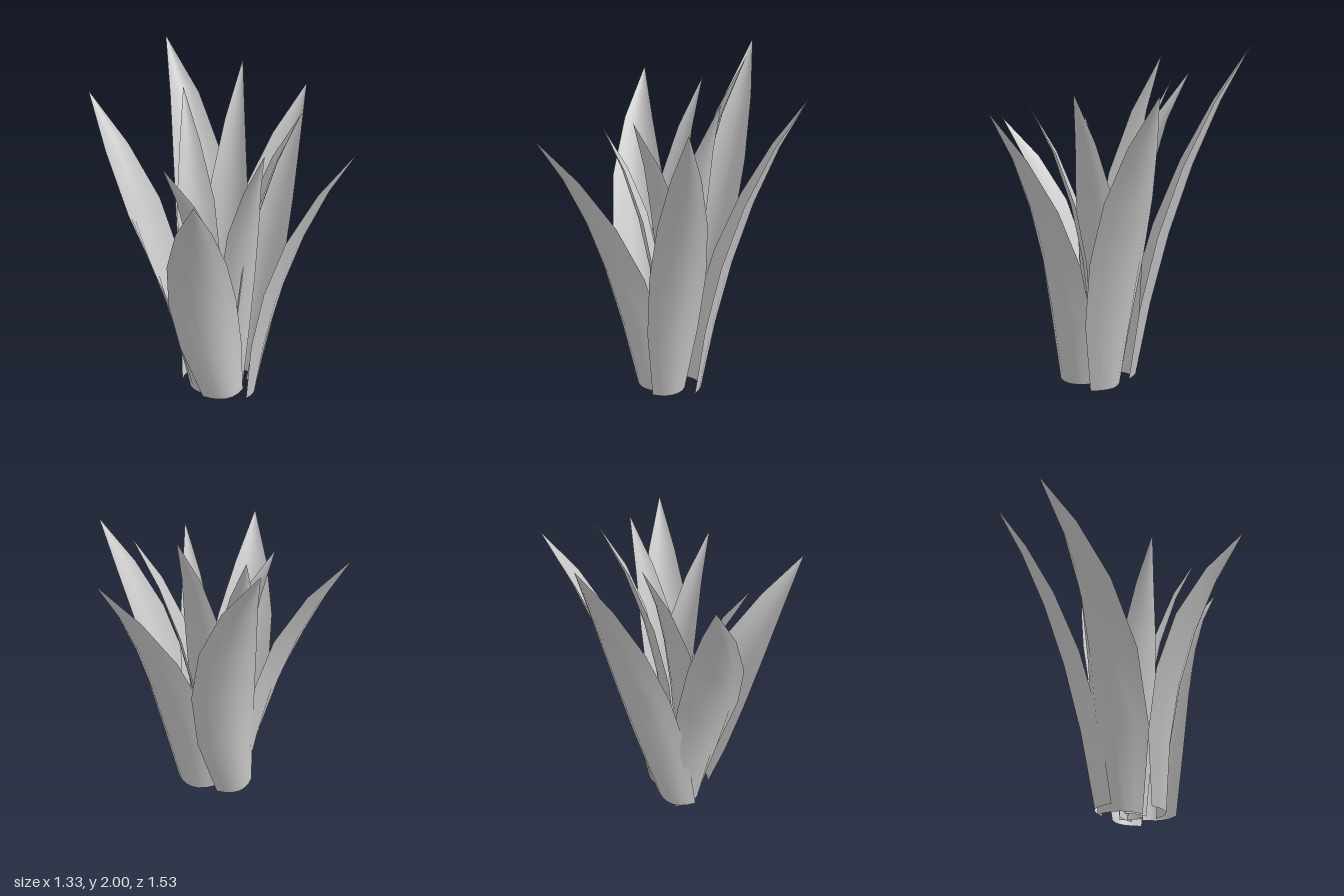
import * as THREE from 'three';

const material = new THREE.MeshStandardMaterial({ color: 0xcccccc, side: THREE.DoubleSide });

// Each leaf: spine base [x, y, z], spine at 60% [x, z], tip [x, y, z],
// facing angle at base and tip (degrees), width scale
const outerLeaves = [
  { base: [-0.13, 0.03, -0.12], mid: [-0.05, -0.47], tip: [-0.16, 2.0, -0.77], turn: [-115, -101], scale: 1 },
  { base: [0.165, 0.025, -0.06], mid: [0.4, -0.245], tip: [0.63, 1.76, -0.42], turn: [-62, -46], scale: 1 },
  { base: [0.2, 0.04, 0.185], mid: [0.43, 0.31], tip: [0.66, 1.66, 0.48], turn: [13, 41], scale: 0.84 },
  { base: [0.01, 0.03, 0.24], mid: [-0.195, 0.46], tip: [-0.27, 1.54, 0.765], turn: [84, 97], scale: 1.02 },
  { base: [-0.17, 0.0, 0.025], mid: [-0.455, -0.1], tip: [-0.67, 1.82, -0.33], turn: [170, 236], scale: 0.95 },
];
const innerLeaves = [
  { base: [-0.08, 0.015, 0.03], mid: [-0.11, -0.11], tip: [-0.13, 1.81, -0.33], turn: [-92, -90], scale: 1 },
  { base: [0.05, 0.015, 0.0], mid: [0.11, -0.125], tip: [0.22, 1.95, -0.34], turn: [-72, -58], scale: 1 },
  { base: [0.08, 0.02, 0.035], mid: [0.235, 0.05], tip: [0.46, 1.75, 0.08], turn: [0, 8], scale: 1 },
  { base: [0.09, 0.02, 0.095], mid: [0.125, 0.205], tip: [0.165, 1.65, 0.43], turn: [85, 74], scale: 0.9 },
  { base: [-0.02, 0.02, 0.085], mid: [-0.14, 0.155], tip: [-0.345, 1.55, 0.255], turn: [138, 135], scale: 1 },
];

// Widths at evenly spaced rows from base to tip, and how strongly the base is cupped
const outerForm = { widths: [0.25, 0.36, 0.38, 0.32, 0.185, 0], baseCup: 0.26 };
const innerForm = { widths: [0.13, 0.21, 0.245, 0.22, 0.12, 0], baseCup: 0.08 };

// Quadratic through a (t = 0), m (t = 0.6) and b (t = 1)
function through(a, m, b, t) {
  return a * (t - 0.6) * (t - 1) / 0.6 + m * t * (t - 1) / -0.24 + b * t * (t - 0.6) / 0.4;
}

// A plane bent into a cupped, twisted, outward-leaning, pointed blade
function leaf({ base, mid, tip, turn, scale }, { widths, baseCup }, name) {
  const rows = widths.length - 1;
  const geometry = new THREE.PlaneGeometry(2, 1, 6, rows);
  const pos = geometry.attributes.position;
  for (let i = 0; i < pos.count; i++) {
    const u = pos.getX(i);
    const t = pos.getY(i) + 0.5;
    const width = widths[Math.round(t * rows)] * scale;
    const ease = Math.sin(t * Math.PI / 2);
    const angle = THREE.MathUtils.degToRad(THREE.MathUtils.lerp(turn[0], turn[1], ease));
    const side = u * width / 2;
    const cup = -u * u * width * THREE.MathUtils.lerp(baseCup, 0.2, ease);
    pos.setXYZ(i,
      through(base[0], mid[0], tip[0], t) + Math.cos(angle) * cup - Math.sin(angle) * side,
      THREE.MathUtils.lerp(base[1], tip[1], 1.25 * t - 0.25 * t * t),
      through(base[2], mid[1], tip[2], t) + Math.sin(angle) * cup + Math.cos(angle) * side);
  }
  geometry.computeVertexNormals();
  const mesh = new THREE.Mesh(geometry, material);
  mesh.name = name;
  return mesh;
}

export function createModel() {
  const plant = new THREE.Group();
  plant.name = 'leafyPlant';
  outerLeaves.forEach((l, i) => plant.add(leaf(l, outerForm, `outerLeaf${i + 1}`)));
  innerLeaves.forEach((l, i) => plant.add(leaf(l, innerForm, `innerLeaf${i + 1}`)));
  return plant;
}
